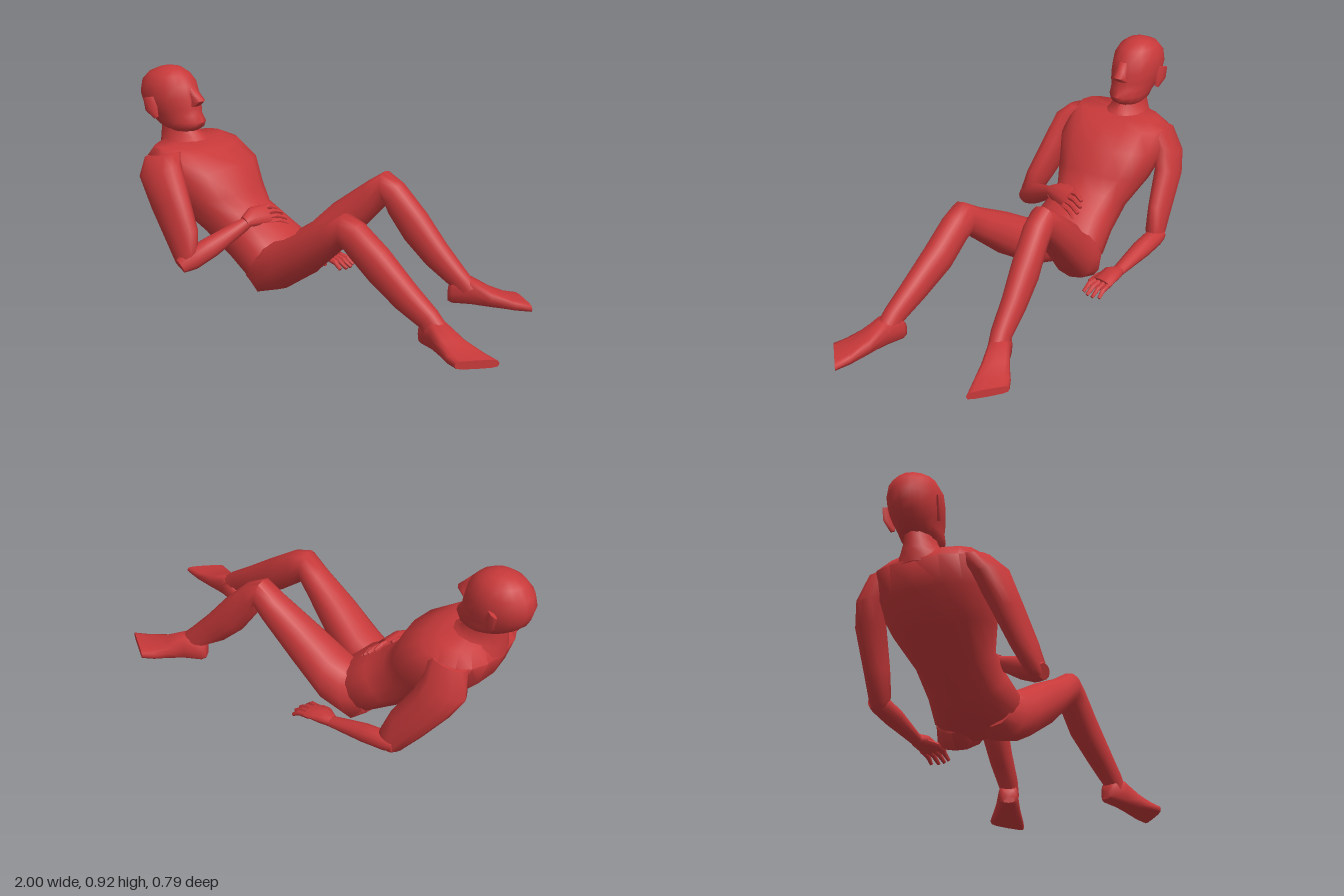
import * as THREE from 'three';
import { toCreasedNormals } from 'three/addons/utils/BufferGeometryUtils.js';

const V = (x, y, z) => new THREE.Vector3(x, y, z);
const SIDES = 12;

export function createModel() {
  const model = new THREE.Group();
  model.name = 'recliningFigure';
  const red = new THREE.MeshStandardMaterial({ color: 0xc8393a });
  red.name = 'red';

  // Skin a closed surface over rings { c: centre, a, b: half axes }; power < 1 squares the outline
  function loft(name, rings, { power = 1, parent = model, sides = SIDES } = {}) {
    const pos = [], idx = [];
    const bend = (v) => Math.sign(v) * Math.abs(v) ** power;
    for (const { c, a, b } of rings) {
      for (let i = 0; i < sides; i++) {
        const t = (i / sides) * Math.PI * 2;
        const p = c.clone().addScaledVector(a, bend(Math.cos(t))).addScaledVector(b, bend(Math.sin(t)));
        pos.push(p.x, p.y, p.z);
      }
    }
    const last = rings.length - 1, start = rings.length * sides;
    pos.push(...rings[0].c.toArray(), ...rings[last].c.toArray());
    for (let i = 0; i < sides; i++) {
      const j = (i + 1) % sides;
      for (let k = 0; k < last; k++) {
        const p = k * sides, q = p + sides;
        idx.push(p + i, p + j, q + j, p + i, q + j, q + i);
      }
      idx.push(start, j, i, start + 1, last * sides + i, last * sides + j);
    }
    // Turn the faces outward if the volume comes out negative
    const at = (i) => V(pos[i * 3], pos[i * 3 + 1], pos[i * 3 + 2]).sub(rings[0].c);
    let volume = 0;
    for (let i = 0; i < idx.length; i += 3) volume += at(idx[i]).dot(at(idx[i + 1]).cross(at(idx[i + 2])));
    if (volume < 0) idx.reverse();
    const geo = new THREE.BufferGeometry();
    geo.setAttribute('position', new THREE.Float32BufferAttribute(pos, 3));
    geo.setIndex(idx);
    const mesh = new THREE.Mesh(toCreasedNormals(geo, 1.05), red);
    mesh.name = name;
    parent.add(mesh);
  }

  // Sections given as [front x, front y, back x, back y, centre z, half width]
  const body = (name, list, opts) => loft(name, list.map(([x1, y1, x2, y2, z, w]) => ({
    c: V((x1 + x2) / 2, (y1 + y2) / 2, z),
    a: V(0, 0, w),
    b: V((x1 - x2) / 2, (y1 - y2) / 2, 0),
  })), opts);

  // Limb along points, with [half width, half thickness] at each and a direction for the width
  function limb(name, points, sizes, across, opts) {
    loft(name, points.map((c, i) => {
      const t = points[Math.min(i + 1, points.length - 1)].clone().sub(points[Math.max(i - 1, 0)]).normalize();
      const a = across.clone().addScaledVector(t, -across.dot(t)).normalize();
      const b = a.clone().cross(t);
      return { c, a: a.multiplyScalar(sizes[i][0]), b: b.multiplyScalar(sizes[i][1]) };
    }), opts);
  }

  // Torso and neck
  body('torso', [
    [-0.63, 0.607, -0.83, 0.598, 0.02, 0.195],
    [-0.56, 0.588, -0.88, 0.54, 0.005, 0.235],
    [-0.46, 0.525, -0.845, 0.43, 0, 0.24],
    [-0.41, 0.42, -0.74, 0.32, 0, 0.205],
    [-0.36, 0.36, -0.59, 0.21, 0, 0.16],
    [-0.28, 0.315, -0.45, 0.12, 0, 0.165],
    [-0.2, 0.26, -0.34, 0.05, 0, 0.185],
    [-0.14, 0.2, -0.25, 0.03, 0, 0.13],
  ], { power: 0.85, sides: 16 });
  body('neck', [
    [-0.70, 0.68, -0.89, 0.7, 0, 0.065],
    [-0.70, 0.64, -0.89, 0.635, 0, 0.065],
    [-0.665, 0.615, -0.89, 0.59, 0, 0.085],
    [-0.62, 0.57, -0.885, 0.53, 0, 0.13],
  ]);

  // Head with nose and ears
  body('head', [
    [-0.71, 0.637, -0.85, 0.645, 0, 0.06],
    [-0.675, 0.658, -0.90, 0.66, 0, 0.078],
    [-0.662, 0.685, -0.94, 0.685, 0, 0.082],
    [-0.685, 0.715, -0.968, 0.71, 0, 0.09],
    [-0.69, 0.745, -0.987, 0.745, 0, 0.1],
    [-0.70, 0.79, -1.0, 0.79, 0, 0.106],
    [-0.715, 0.845, -0.988, 0.845, 0, 0.101],
    [-0.75, 0.885, -0.95, 0.885, 0, 0.08],
    [-0.79, 0.908, -0.90, 0.908, 0, 0.05],
    [-0.82, 0.917, -0.865, 0.917, 0, 0.018],
  ], { sides: 16 });
  body('nose', [
    [-0.71, 0.84, -0.76, 0.84, 0, 0.022],
    [-0.683, 0.81, -0.74, 0.805, 0, 0.026],
    [-0.656, 0.782, -0.73, 0.772, 0, 0.03],
    [-0.684, 0.757, -0.73, 0.75, 0, 0.034],
  ], { sides: 8 });
  for (const s of [1, -1]) {
    limb(s > 0 ? 'frontEar' : 'backEar',
      [V(-0.85, 0.70, s * 0.1), V(-0.868, 0.74, s * 0.11), V(-0.88, 0.79, s * 0.112)],
      [[0.012, 0.008], [0.03, 0.01], [0.026, 0.009]], V(-0.94, 0, s * 0.34), { sides: 8 });
  }

  // Legs, from hip over the raised knee to the ankle
  body('frontLeg', [
    [-0.30, 0.2, -0.32, 0.05, 0.09, 0.075],
    [-0.2, 0.25, -0.26, 0.008, 0.1, 0.1],
    [-0.14, 0.275, -0.13, 0.055, 0.112, 0.108],
    [-0.02, 0.35, 0.05, 0.18, 0.145, 0.092],
    [0.14, 0.435, 0.18, 0.3, 0.178, 0.07],
    [0.225, 0.492, 0.235, 0.35, 0.192, 0.063],
    [0.31, 0.465, 0.27, 0.315, 0.195, 0.06],
    [0.43, 0.38, 0.37, 0.235, 0.2, 0.06],
    [0.58, 0.265, 0.51, 0.155, 0.22, 0.05],
    [0.69, 0.185, 0.63, 0.105, 0.232, 0.043],
    [0.76, 0.12, 0.64, 0.06, 0.24, 0.04],
  ], { power: 0.88 });
  body('backLeg', [
    [-0.30, 0.2, -0.32, 0.05, -0.09, 0.075],
    [-0.2, 0.255, -0.26, 0.0, -0.1, 0.1],
    [-0.15, 0.29, -0.13, 0.055, -0.112, 0.108],
    [-0.06, 0.385, 0.02, 0.22, -0.145, 0.09],
    [0.1, 0.51, 0.16, 0.38, -0.175, 0.068],
    [0.18, 0.565, 0.2, 0.43, -0.18, 0.06],
    [0.26, 0.525, 0.215, 0.385, -0.182, 0.058],
    [0.37, 0.41, 0.29, 0.275, -0.195, 0.057],
    [0.47, 0.285, 0.39, 0.18, -0.206, 0.048],
    [0.56, 0.185, 0.5, 0.11, -0.215, 0.042],
    [0.62, 0.12, 0.51, 0.06, -0.225, 0.038],
  ], { power: 0.88 });

  // Feet splay outward; each section is [distance, bottom, top, half width, slant]
  function foot(name, x, z, angle, s, length) {
    const along = V(Math.cos(angle), 0, s * Math.sin(angle));
    const out = V(-Math.sin(angle), 0, s * Math.cos(angle));
    loft(name, [
      [0, 0.045, 0.105, 0.028, 0], [0.06, 0.038, 0.135, 0.042, 0], [0.3, 0.038, 0.15, 0.046, 0.1],
      [0.55, 0.036, 0.108, 0.058, 0.25], [0.8, 0.035, 0.082, 0.073, 0.45], [1, 0.038, 0.074, 0.079, 0.53],
    ].map(([d, lo, hi, w, slant]) => ({
      c: V(x, (lo + hi) / 2, z).addScaledVector(along, d * length),
      a: out.clone().addScaledVector(along, -slant).multiplyScalar(w),
      b: V(0, (hi - lo) / 2, 0),
    })), { power: 0.55 });
  }
  foot('frontFoot', 0.625, 0.215, 0.34, 1, 0.33);
  foot('backFoot', 0.495, -0.2, 0.43, -1, 0.32);

  // Upper arms
  body('frontUpperArm', [
    [-0.64, 0.6, -0.82, 0.555, 0.2, 0.06],
    [-0.6, 0.56, -0.81, 0.48, 0.25, 0.064],
    [-0.53, 0.44, -0.72, 0.36, 0.285, 0.055],
    [-0.455, 0.31, -0.61, 0.23, 0.32, 0.046],
    [-0.44, 0.22, -0.54, 0.155, 0.345, 0.038],
    [-0.455, 0.175, -0.51, 0.14, 0.355, 0.025],
  ], { power: 0.9 });
  body('backUpperArm', [
    [-0.66, 0.575, -0.83, 0.545, -0.185, 0.05],
    [-0.66, 0.5, -0.85, 0.43, -0.225, 0.056],
    [-0.63, 0.41, -0.8, 0.345, -0.256, 0.05],
    [-0.54, 0.27, -0.69, 0.205, -0.277, 0.042],
    [-0.5, 0.17, -0.6, 0.1, -0.292, 0.038],
    [-0.52, 0.12, -0.575, 0.09, -0.3, 0.03],
  ], { power: 0.9 });

  // Forearms
  limb('frontForearm',
    [V(-0.495, 0.16, 0.383), V(-0.47, 0.185, 0.338), V(-0.42, 0.23, 0.26), V(-0.335, 0.315, 0.12)],
    [[0.034, 0.026], [0.05, 0.042], [0.047, 0.042], [0.028, 0.024]], V(0.74, -0.67, 0));
  limb('backForearm',
    [V(-0.58, 0.125, -0.303), V(-0.53, 0.125, -0.3), V(-0.43, 0.112, -0.295), V(-0.25, 0.082, -0.285)],
    [[0.03, 0.03], [0.042, 0.042], [0.043, 0.04], [0.028, 0.022]], V(0, 0, 1));

  // Hands: palm, four fingers and a thumb laid out along, across and below the wrist
  function hand(name, wrist, along, across, down, thumbSide) {
    const parent = new THREE.Group();
    parent.name = name;
    model.add(parent);
    const at = (d, w, h) => wrist.clone().addScaledVector(along, d).addScaledVector(across, w).addScaledVector(down, h);
    limb('palm', [at(-0.01, 0, 0), at(0.04, 0, -0.008), at(0.115, 0, 0.003)],
      [[0.026, 0.022], [0.046, 0.027], [0.05, 0.018]], across, { parent, sides: 10 });
    [-1.5, -0.5, 0.5, 1.5].forEach((k, i) => {
      const reach = 0.2 - Math.abs(k) * 0.012;
      limb('finger' + (i + 1), [at(0.095, k * 0.024, 0.003), at(0.15, k * 0.027, 0.01), at(reach, k * 0.029, 0.034)],
        [[0.013, 0.013], [0.012, 0.012], [0.008, 0.008]], across, { parent, sides: 6 });
    });
    limb('thumb', [at(0.03, thumbSide * 0.03, 0.005), at(0.07, thumbSide * 0.058, 0.012), at(0.115, thumbSide * 0.068, 0.022)],
      [[0.016, 0.014], [0.014, 0.012], [0.008, 0.008]], across, { parent, sides: 6 });
  }
  hand('frontHand', V(-0.335, 0.32, 0.122), V(0.28, 0.1, -0.95).normalize(), V(0.74, -0.67, 0), V(0.3, -0.9, -0.1).normalize(), -1);
  hand('backHand', V(-0.25, 0.082, -0.285), V(0.98, -0.02, 0.12).normalize(), V(-0.12, 0, 0.98), V(0, -1, 0), 1);

  return model;
}
